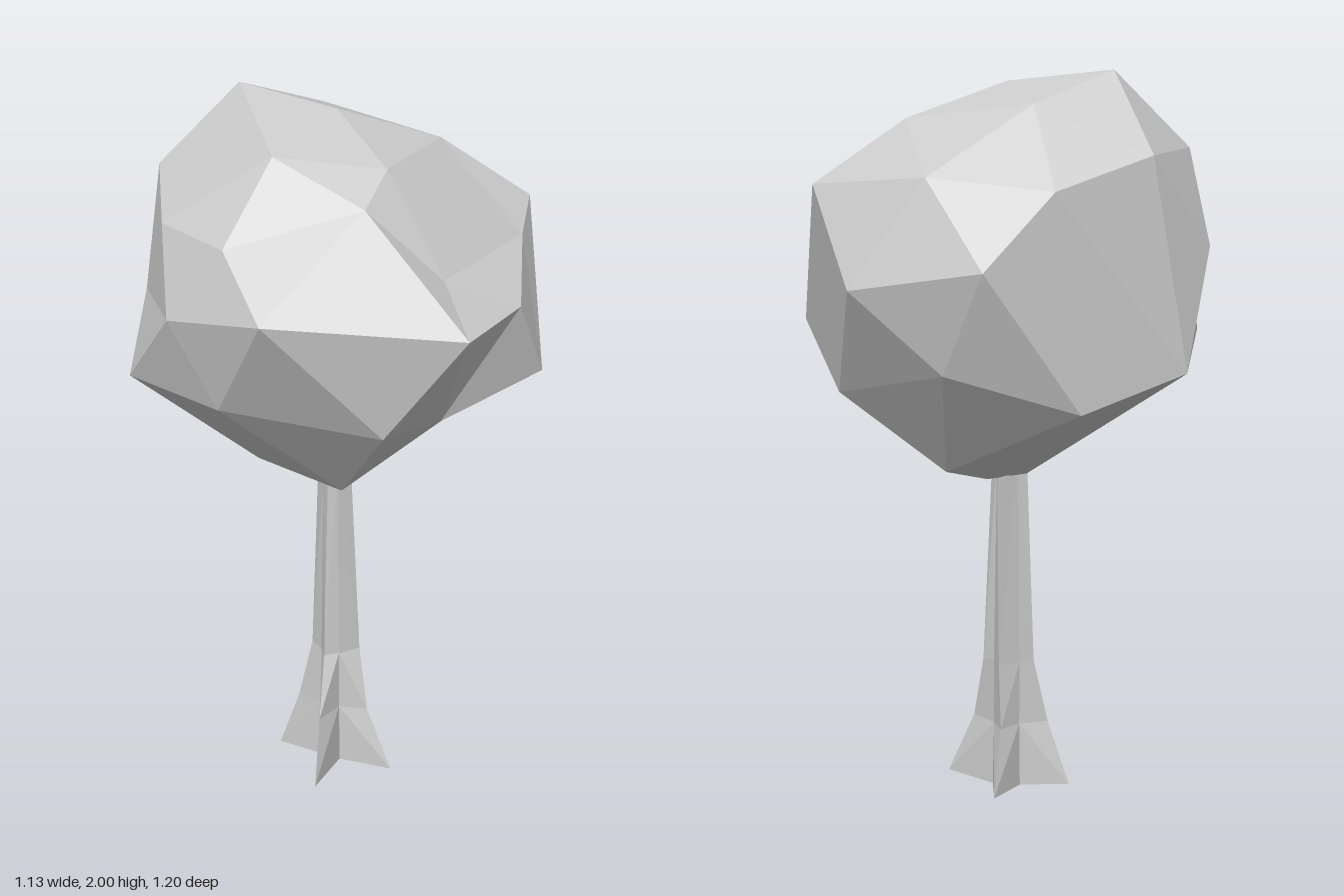
import * as THREE from 'three';
import { ConvexGeometry } from 'three/addons/geometries/ConvexGeometry.js';

const material = new THREE.MeshStandardMaterial({ color: 0xcccccc, flatShading: true });

// Faceted crown: knobs joined in the order they surround the crown's centre,
// so that shallow dents are kept.
function createCrown() {
  const knobs = [
    // top
    [-0.17, 2.0, -0.32], [0.005, 1.97, -0.06], [0.29, 1.873, -0.02], [0.087, 1.915, -0.345],
    [-0.245, 1.91, 0.11], [0.02, 1.88, 0.23], [-0.085, 1.812, 0.328],
    // front
    [0.08, 1.53, 0.595], [0.103, 1.624, 0.4], [0.325, 1.525, 0.4], [-0.41, 1.582, 0.427],
    [-0.425, 1.72, 0.22], [0.125, 1.217, 0.35], [-0.1, 1.254, 0.48],
    // left side (+x)
    [0.53, 1.704, 0.05], [0.563, 1.45, -0.23], [0.43, 1.65, 0.2], [0.43, 1.31, 0.338],
    [0.484, 1.153, 0], [0.393, 1.735, -0.335], [0.365, 1.235, -0.37],
    // right side (-x)
    [-0.567, 1.275, -0.145], [-0.54, 1.513, 0.107], [-0.49, 1.72, -0.054],
    [-0.44, 1.284, 0.2], [-0.485, 1.49, -0.22], [-0.397, 1.795, -0.341],
    // back
    [-0.225, 1.23, -0.6], [-0.346, 1.548, -0.518], [-0.137, 1.788, -0.565],
    [0.15, 1.705, -0.565], [0.33, 1.508, -0.52], [0.065, 1.137, -0.555],
    // underside
    [0.246, 0.94, -0.16], [0.077, 0.889, -0.08], [-0.1, 1.0, 0.215],
    [-0.25, 1.03, -0.01], [-0.03, 0.9, -0.11],
  ].map((p) => new THREE.Vector3(...p));

  const centre = new THREE.Vector3(0, 1.42, 0);
  const directions = knobs.map((p) => p.clone().sub(centre).normalize());
  const geometry = new ConvexGeometry(directions);
  const pos = geometry.attributes.position;
  const v = new THREE.Vector3();
  for (let i = 0; i < pos.count; i++) {
    v.fromBufferAttribute(pos, i);
    let best = 0;
    directions.forEach((d, k) => {
      if (d.distanceToSquared(v) < directions[best].distanceToSquared(v)) best = k;
    });
    pos.setXYZ(i, knobs[best].x, knobs[best].y, knobs[best].z);
  }
  geometry.computeVertexNormals();
  const crown = new THREE.Mesh(geometry, material);
  crown.name = 'crown';
  return crown;
}

// Trunk: eight-sided rings, four ridges that flare into roots and four grooves.
function createTrunk() {
  // y, x from/to, z from/to of the ridges, groove distance from the axis
  const levels = [
    [0, -0.135, 0.107, -0.172, 0.1, 0.05],
    [0.18, -0.092, 0.06, -0.125, 0.032, 0.046],
    [0.36, -0.054, 0.058, -0.11, -0.02, 0.046],
    [0.95, -0.036, 0.034, -0.1, -0.03, 0.036],
  ];
  const rings = levels.map(([y, x0, x1, z0, z1, g]) => {
    const cx = 0, cz = -0.06;
    return [
      [cx - 0.01, y, cz + g], [x1, y, z1], [cx + g, y, cz], [x1, y, z0],
      [cx - 0.01, y, cz - g], [x0, y, z0], [cx - g, y, cz], [x0, y, z1],
    ];
  });
  const points = [];
  for (let r = 0; r < rings.length - 1; r++) {
    for (let i = 0; i < 8; i++) {
      const j = (i + 1) % 8;
      const a = rings[r][i], b = rings[r][j], c = rings[r + 1][j], d = rings[r + 1][i];
      // split each quad along the same direction on both flanks of a ridge
      if (i % 2 === 0) points.push(a, b, d, b, c, d);
      else points.push(a, b, c, a, c, d);
    }
  }
  // closed foot
  for (let i = 0; i < 8; i++) points.push([0, 0, -0.06], rings[0][(i + 1) % 8], rings[0][i]);

  const geometry = new THREE.BufferGeometry();
  geometry.setAttribute('position', new THREE.Float32BufferAttribute(points.flat(), 3));
  geometry.computeVertexNormals();
  const trunk = new THREE.Mesh(geometry, material);
  trunk.name = 'trunk';
  return trunk;
}

export function createModel() {
  const tree = new THREE.Group();
  tree.name = 'tree';
  tree.add(createTrunk(), createCrown());
  return tree;
}
